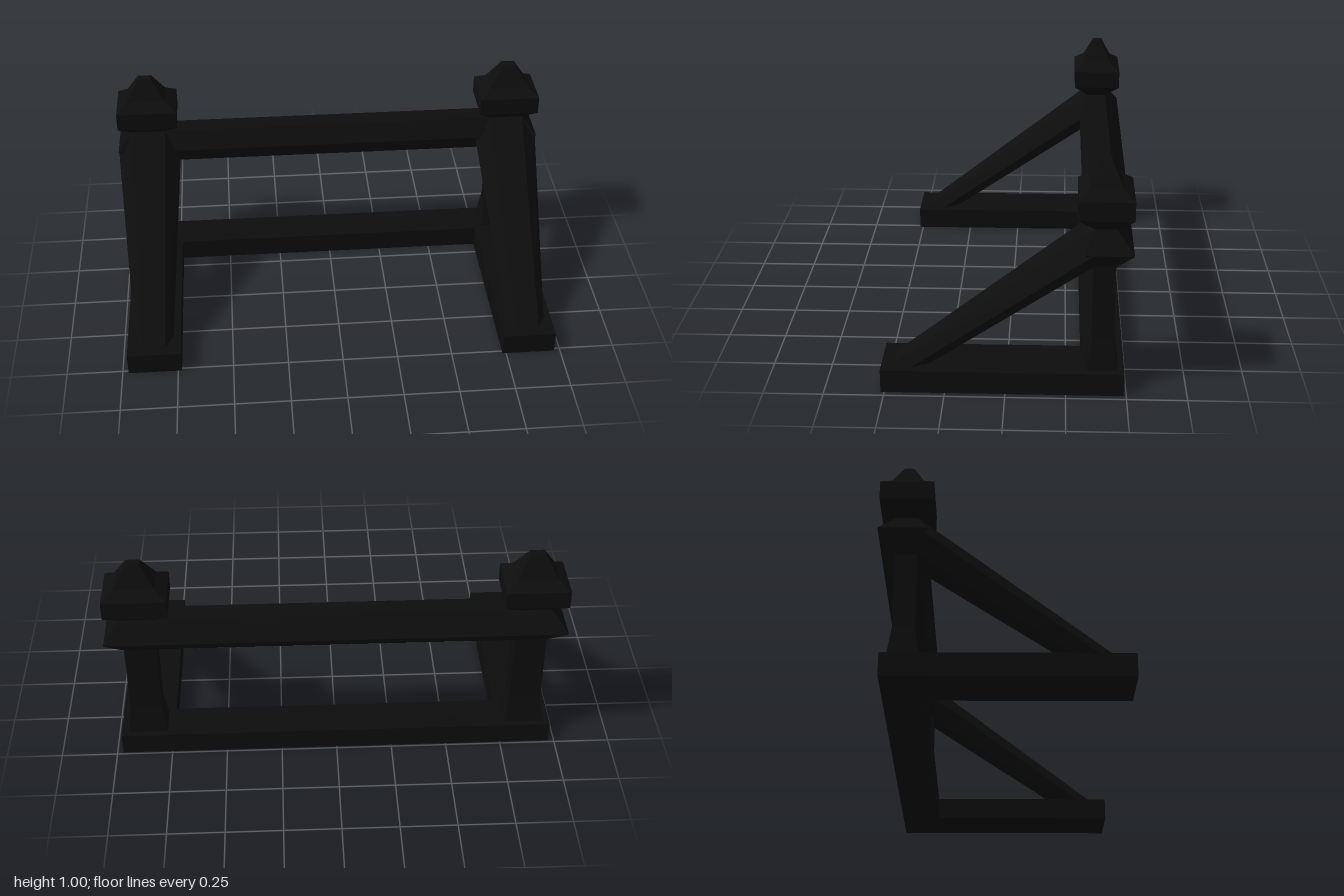
import * as THREE from 'three';

const material = new THREE.MeshStandardMaterial({ color: 0x0d0d0d, flatShading: true });

function mesh(name, geometry, x = 0, y = 0, z = 0) {
  const m = new THREE.Mesh(geometry, material);
  m.name = name;
  m.position.set(x, y, z);
  return m;
}

// Joins rings of points (counterclockwise seen from the last ring) and closes both ends
function loft(rings) {
  const pos = [];
  const tri = (a, b, c) => pos.push(...a, ...b, ...c);
  const n = rings[0].length;
  for (let r = 0; r + 1 < rings.length; r++) {
    const a = rings[r], b = rings[r + 1];
    for (let i = 0; i < n; i++) {
      const j = (i + 1) % n;
      tri(a[i], a[j], b[j]);
      tri(a[i], b[j], b[i]);
    }
  }
  const first = rings[0], last = rings[rings.length - 1];
  for (let i = 1; i + 1 < n; i++) {
    tri(first[0], first[i + 1], first[i]);
    tri(last[0], last[i], last[i + 1]);
  }
  const g = new THREE.BufferGeometry();
  g.setAttribute('position', new THREE.Float32BufferAttribute(pos, 3));
  g.computeVertexNormals();
  return g;
}

// Stack of rectangles: [y, half width, half depth, z centre]
const stack = (levels) => loft(levels.map(([y, w, d, z = 0]) =>
  [[w, y, z + d], [w, y, z - d], [-w, y, z - d], [-w, y, z + d]]));

// Six-sided brace section: [y, z] of its top, middle and bottom edges
const hexRing = (flat, mid, top, middle, bottom) => [
  [-mid, ...middle], [-flat, ...top], [flat, ...top],
  [mid, ...middle], [flat, ...bottom], [-flat, ...bottom],
];

function createSide() {
  const side = new THREE.Group();
  // Foot beam running front to back
  side.add(mesh('foot', new THREE.BoxGeometry(0.24, 0.1, 1.005), 0, 0.05, 0.0125));
  // Post with flared base
  side.add(mesh('post', stack([
    [0.09, 0.087, 0.065], [0.1, 0.087, 0.065], [0.235, 0.07, 0.045], [0.6, 0.07, 0.045],
  ]), 0, 0, -0.4));
  // Sloping brace, wider towards the top
  side.add(mesh('brace', loft([
    hexRing(0.05, 0.0875, [0.1, 0.465], [0.1, 0.39], [0.1, 0.315]),
    hexRing(0.078, 0.147, [0.73, -0.355], [0.645, -0.355], [0.565, -0.355]),
  ])));
  // Faceted finial
  side.add(mesh('finial', stack([
    [0.72, 0.078, 0.045], [0.73, 0.078, 0.045], [0.787, 0.137, 0.111], [0.868, 0.137, 0.111],
    [0.904, 0.088, 0.065], [1, 0.03, 0.02],
  ]), 0, 0, -0.4));
  return side;
}

export function createModel() {
  const model = new THREE.Group();
  model.name = 'barrier';

  for (const s of [1, -1]) {
    const side = createSide();
    side.name = s > 0 ? 'leftSupport' : 'rightSupport';
    side.position.x = s * 0.853;
    model.add(side);
  }

  // Sill on the ground between the feet
  model.add(mesh('sill', new THREE.BoxGeometry(1.5, 0.1, 0.175), 0, 0.05, -0.4025));

  // Top rail with bevelled edges and ends
  model.add(mesh('rail', stack([
    [0.565, 0.93, 0.045, -0.4], [0.643, 1, 0.099, -0.414], [0.73, 0.93, 0.045, -0.4],
  ])));

  // Shallow round plugs on the sill and under the rail
  for (const x of [-0.51, -0.17, 0.17, 0.51]) {
    model.add(mesh('sillPlug', new THREE.CylinderGeometry(0.045, 0.045, 0.01, 8), x, 0.097, -0.4));
    model.add(mesh('railPlug', new THREE.CylinderGeometry(0.04, 0.04, 0.01, 8), x, 0.568, -0.4));
  }
  return model;
}
